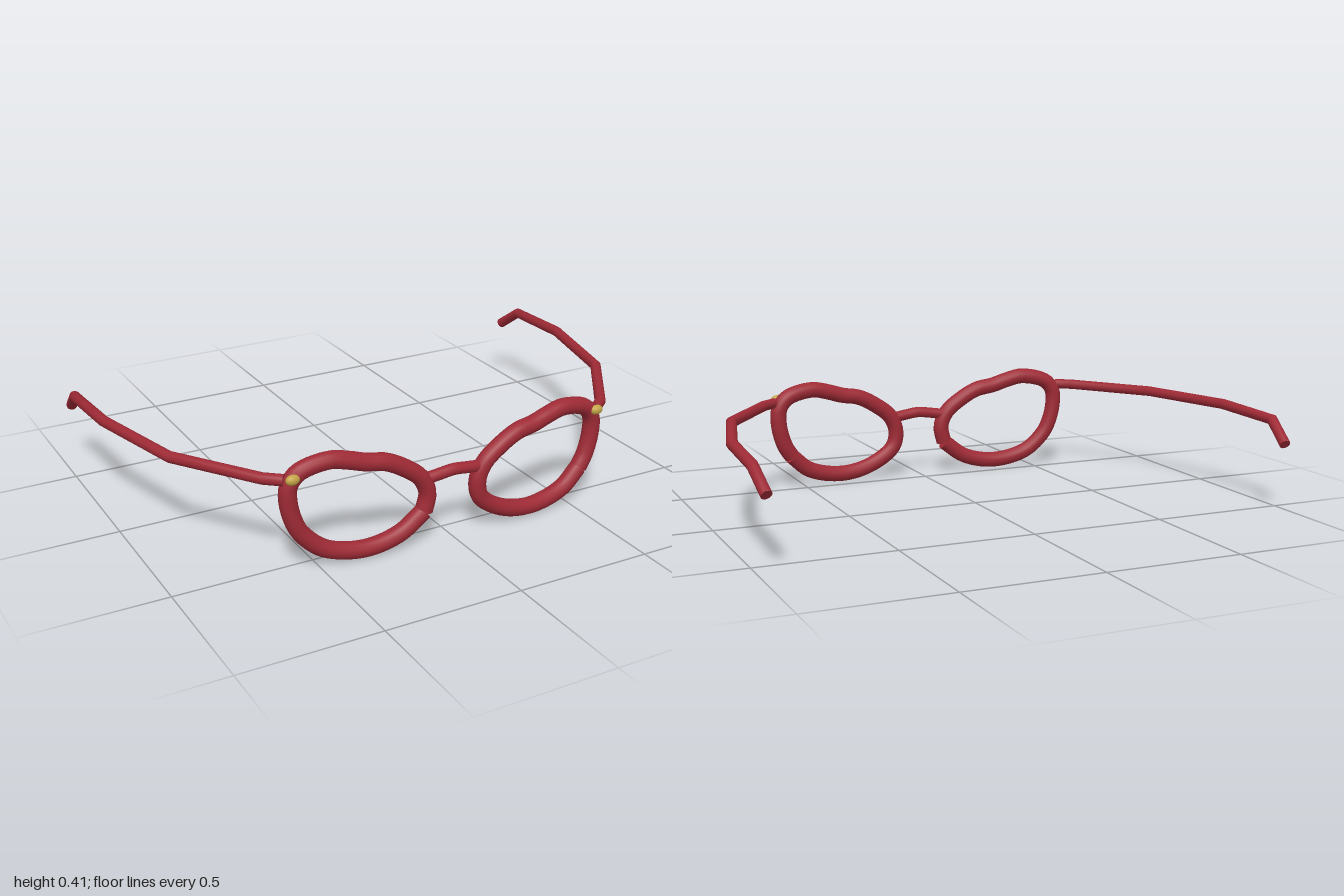
import * as THREE from 'three';

const red = new THREE.MeshStandardMaterial({ color: 0x9e2a35 });
red.name = 'frameRed';
const brass = new THREE.MeshStandardMaterial({ color: 0xc2a346 });
brass.name = 'rivetBrass';

// Straight runs joined by mitred corners, one ring per corner
class Polyline extends THREE.Curve {
  constructor(points) {
    super();
    this.points = points;
  }
  getPoint(t, target = new THREE.Vector3()) {
    const n = this.points.length - 1;
    const i = Math.min(Math.floor(t * n + 1e-6), n - 1);
    return target.lerpVectors(this.points[i], this.points[i + 1], t * n - i);
  }
  getPointAt(u, target) {
    return this.getPoint(u, target);
  }
  getTangentAt(u, target = new THREE.Vector3()) {
    const p = this.points, i = Math.round(u * (p.length - 1));
    target.set(0, 0, 0);
    if (i > 0) target.add(p[i].clone().sub(p[i - 1]).normalize());
    if (i < p.length - 1) target.add(p[i + 1].clone().sub(p[i]).normalize());
    return target.normalize();
  }
}

// Round rod along a curve, closed with a disc at each end
function rod(name, curve, segments, radius) {
  const group = new THREE.Group();
  group.name = name;
  const tube = new THREE.Mesh(new THREE.TubeGeometry(curve, segments, radius, 14, false), red);
  tube.name = name + 'Tube';
  group.add(tube);
  for (const u of [0, 1]) {
    const cap = new THREE.Mesh(new THREE.CircleGeometry(radius, 14), red);
    const outward = curve.getTangentAt(u).multiplyScalar(u ? 1 : -1);
    cap.position.copy(curve.getPointAt(u));
    cap.quaternion.setFromUnitVectors(new THREE.Vector3(0, 0, 1), outward);
    cap.name = name + 'End';
    group.add(cap);
  }
  return group;
}

// Rim outline from the outer side, over the brow, and back along the bottom
const RIM = [
  [0.55, 0.125], [0.578, 0.17], [0.6, 0.25], [0.598, 0.315], [0.565, 0.358],
  [0.46, 0.383], [0.393, 0.37], [0.33, 0.351], [0.26, 0.338], [0.19, 0.302],
  [0.125, 0.25], [0.1, 0.19], [0.113, 0.125], [0.205, 0.06], [0.335, 0.033],
  [0.475, 0.063],
];
const INNER_SEAM = 12;

const TEMPLE = [
  [0.615, 0.342, 0.54], [0.67, 0.342, 0.495], [0.872, 0.342, 0.2],
  [0.968, 0.342, -0.19], [0.98, 0.329, -0.49], [0.966, 0.255, -0.592],
];

export function createModel() {
  const model = new THREE.Group();
  model.name = 'eyeglasses';

  for (const side of [1, -1]) {
    const prefix = side > 0 ? 'left' : 'right';

    // Rim, gently wrapped backwards; both seams sit on the +x side of the lens opening
    const start = side > 0 ? 0 : INNER_SEAM;
    const path = [];
    for (let i = 0; i <= RIM.length; i++) {
      const [x, y] = RIM[(start + i) % RIM.length];
      path.push(new THREE.Vector3(side * x, y, 0.573 - 0.1 * x * x));
    }
    model.add(rod(prefix + 'Rim', new THREE.CatmullRomCurve3(path), 72, 0.031));

    // Temple arm with the bent ear tip
    const arm = TEMPLE.map(([x, y, z]) => new THREE.Vector3(side * x, y, z));
    model.add(rod(prefix + 'Temple', new Polyline(arm), arm.length - 1, 0.02));

    // Hinge rivet
    const rivet = new THREE.Mesh(new THREE.SphereGeometry(1, 16, 12), brass);
    rivet.scale.set(0.025, 0.018, 0.016);
    rivet.position.set(side * 0.597, 0.35, 0.568);
    rivet.name = prefix + 'Rivet';
    model.add(rivet);
  }

  // Nose bridge
  const bridge = new THREE.CatmullRomCurve3([
    new THREE.Vector3(-0.115, 0.242, 0.57),
    new THREE.Vector3(-0.06, 0.25, 0.575),
    new THREE.Vector3(0, 0.257, 0.577),
    new THREE.Vector3(0.06, 0.25, 0.575),
    new THREE.Vector3(0.115, 0.242, 0.57),
  ]);
  model.add(rod('bridge', bridge, 16, 0.021));

  return model;
}
